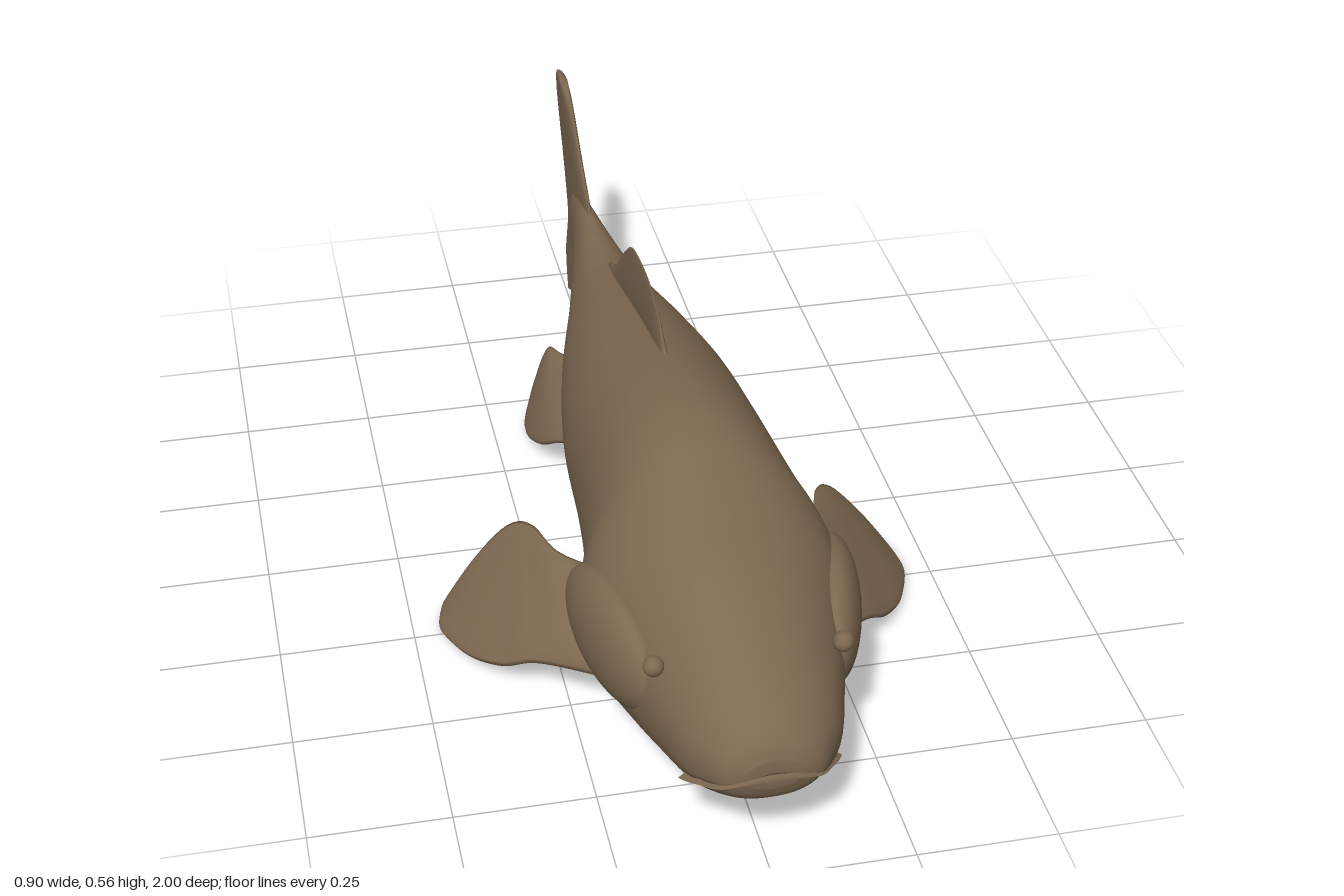
import * as THREE from 'three';

const V = (x, y, z) => new THREE.Vector3(x, y, z);

// Skin a list of closed rings, optionally capping each end; faces always point outwards.
function loft(rings, capStart = true, capEnd = true) {
  const n = rings[0].length, pts = rings.flat(), idx = [];
  for (let i = 0; i < rings.length - 1; i++)
    for (let j = 0; j < n; j++) {
      const a = i * n + j, b = i * n + (j + 1) % n;
      idx.push(a, b, a + n, b, b + n, a + n);
    }
  const cap = (ring, base, flip) => {
    const c = pts.length;
    pts.push(ring.reduce((s, p) => s.add(p), V(0, 0, 0)).divideScalar(n));
    for (let j = 0; j < n; j++) {
      const a = base + j, b = base + (j + 1) % n;
      idx.push(c, flip ? b : a, flip ? a : b);
    }
  };
  if (capStart) cap(rings[0], 0, true);
  if (capEnd) cap(rings[rings.length - 1], (rings.length - 1) * n, false);
  const mid = pts.reduce((s, p) => s.add(p), V(0, 0, 0)).divideScalar(pts.length);
  let volume = 0;
  for (let i = 0; i < idx.length; i += 3) {
    const [a, b, c] = [0, 1, 2].map(k => pts[idx[i + k]].clone().sub(mid));
    volume += a.dot(b.cross(c));
  }
  if (volume < 0) idx.reverse();
  const g = new THREE.BufferGeometry().setFromPoints(pts);
  g.setIndex(idx);
  g.computeVertexNormals();
  return g;
}

const curve = pts => new THREE.CatmullRomCurve3(pts, false, 'catmullrom', 0.5);

// Thin lens-shaped fin: each section is [leading point, trailing point, half thickness].
function fin(sections, side = 1, steps = 28, n = 20) {
  const lead = curve(sections.map(s => V(s[0][0] * side, s[0][1], s[0][2])));
  const trail = curve(sections.map(s => V(s[1][0] * side, s[1][1], s[1][2])));
  const thick = curve(sections.map((s, i) => V(s[2], i, 0)));
  const centre = u => lead.getPoint(u).add(trail.getPoint(u)).multiplyScalar(0.5);
  const rings = [];
  for (let i = 0; i <= steps; i++) {
    const u = i / steps;
    const half = lead.getPoint(u).sub(trail.getPoint(u)).multiplyScalar(0.5);
    const span = centre(Math.min(1, u + 0.02)).sub(centre(Math.max(0, u - 0.02)));
    const normal = half.clone().cross(span).normalize().multiplyScalar(Math.max(0.001, thick.getPoint(u).x));
    const mid = centre(u), ring = [];
    for (let j = 0; j < n; j++) {
      const a = j / n * Math.PI * 2;
      ring.push(mid.clone().addScaledVector(half, Math.cos(a))
        .addScaledVector(normal, Math.sin(a) * (0.75 + 0.25 * Math.cos(a))));
    }
    rings.push(ring);
  }
  return loft(rings);
}

// Body stations from snout to tail: z, top, bottom, half width, height of widest point
const stations = [
  [1, .255, .19, .05, .225], [.985, .285, .16, .085, .22], [.95, .318, .135, .112, .22],
  [.9, .345, .112, .14, .22], [.8, .39, .075, .17, .225], [.7, .43, .045, .2, .23],
  [.6, .46, .025, .228, .24], [.5, .492, .014, .23, .24], [.42, .515, .01, .208, .25],
  [.33, .523, .015, .193, .26], [.2, .51, .03, .182, .265], [0, .47, .045, .17, .26],
  [-.2, .425, .1, .135, .26], [-.4, .382, .162, .085, .265], [-.55, .376, .172, .052, .27],
  [-.68, .37, .19, .028, .275], [-.8, .34, .22, .012, .28],
];
const outline = curve(stations.map(s => V(s[1], s[2], s[0])));
const girth = curve(stations.map(s => V(s[3], s[4], s[0])));

// Rings between two stations; jaw = 1 keeps the part above the mouth line, -1 the part below.
function bodyRings(from, to, steps, jaw = 0) {
  const last = stations.length - 1, n = 64, rings = [];
  for (let i = 0; i <= steps; i++) {
    const u = (from + (to - from) * i / steps) / last;
    const o = outline.getPoint(u), w = girth.getPoint(u), ring = [];
    const open = Math.max(0, (o.z - 0.9) / 0.1);
    for (let j = 0; j < n; j++) {
      const a = j / n * Math.PI * 2, s = Math.sin(a), c = Math.cos(a);
      const p = s > 0 ? 1 : 0.87;
      const x = w.x * Math.sign(c) * Math.abs(c) ** p;
      let y = s > 0 ? w.y + (o.x - w.y) * s : w.y - (w.y - o.y) * Math.abs(s) ** p;
      const mouth = 0.22 - 3 * x * x;
      if (jaw > 0) y = Math.max(y, mouth + 0.01 * open);
      if (jaw < 0) y = Math.min(y, mouth - 0.01 * open);
      ring.push(V(x, y, o.z - (jaw < 0 ? 0.012 * open : 0)));
    }
    rings.push(ring);
  }
  return rings;
}

export function createModel() {
  const model = new THREE.Group();
  model.name = 'fish';
  const skin = new THREE.MeshStandardMaterial({ color: 0x7d6850 });
  skin.name = 'brownSkin';
  const add = (name, geometry) => {
    const m = new THREE.Mesh(geometry, skin);
    m.name = name;
    model.add(m);
    return m;
  };

  // Body and the two jaws, which meet at the mouth corners
  add('body', loft(bodyRings(3, stations.length - 1, 90), false, true));
  add('upperJaw', loft(bodyRings(0, 3, 18, 1), true, false));
  add('lowerJaw', loft(bodyRings(0, 3, 18, -1), true, false));

  // Dorsal fin: base and crest heights along the back
  add('dorsalFin', fin([
    [.15, .48, .49], [.12, .47, .515], [.07, .46, .545], [0, .45, .565], [-.08, .43, .566],
    [-.17, .41, .548], [-.25, .39, .49], [-.32, .37, .425], [-.39, .36, .39],
  ].map(([z, low, high]) => [[0, low, z], [0, high, z], .009])));

  // Tail fin: front and rear edges from lower lobe to upper lobe
  add('tailFin', fin([
    [.056, -.845, -.875], [.075, -.8, -.905], [.125, -.73, -.917], [.18, -.62, -.9], [.24, -.58, -.884],
    [.31, -.58, -.912], [.375, -.61, -.945], [.43, -.69, -.975], [.48, -.76, -.998], [.52, -.82, -.998],
    [.54, -.89, -.965],
  ].map(([y, front, rear]) => [[0, y, front], [0, y, rear], .011])));

  for (const [label, side] of [['left', 1], ['right', -1]]) {
    // Broad pectoral fin sloping out and down
    add(label + 'PectoralFin', fin([
      [[.17, .11, .58], [.15, .2, .38], .035],
      [[.25, .1, .515], [.235, .215, .32], .026],
      [[.31, .085, .465], [.27, .215, .225], .019],
      [[.36, .05, .42], [.31, .19, .185], .015],
      [[.41, .025, .35], [.37, .12, .175], .012],
      [[.445, .01, .26], [.43, .035, .18], .008],
      [[.448, .006, .22], [.44, .012, .19], .004],
    ], side));

    // Small pelvic fin
    add(label + 'PelvicFin', fin([
      [[.07, .14, -.1], [.05, .18, -.32], .025],
      [[.14, .1, -.19], [.1, .165, -.42], .018],
      [[.17, .06, -.25], [.12, .15, -.47], .014],
      [[.185, .025, -.33], [.145, .08, -.475], .011],
      [[.185, .016, -.38], [.17, .03, -.44], .005],
    ], side));

    // Gill cover bulging from the cheek
    const gill = add(label + 'GillCover', new THREE.SphereGeometry(1, 40, 28));
    gill.scale.set(.052, .105, .17);
    gill.position.set(.194 * side, .25, .62);
    gill.rotation.y = -.22 * side;

    // Small raised eye
    const eye = add(label + 'Eye', new THREE.SphereGeometry(.018, 20, 14));
    eye.position.set(.162 * side, .325, .805);
  }
  return model;
}
